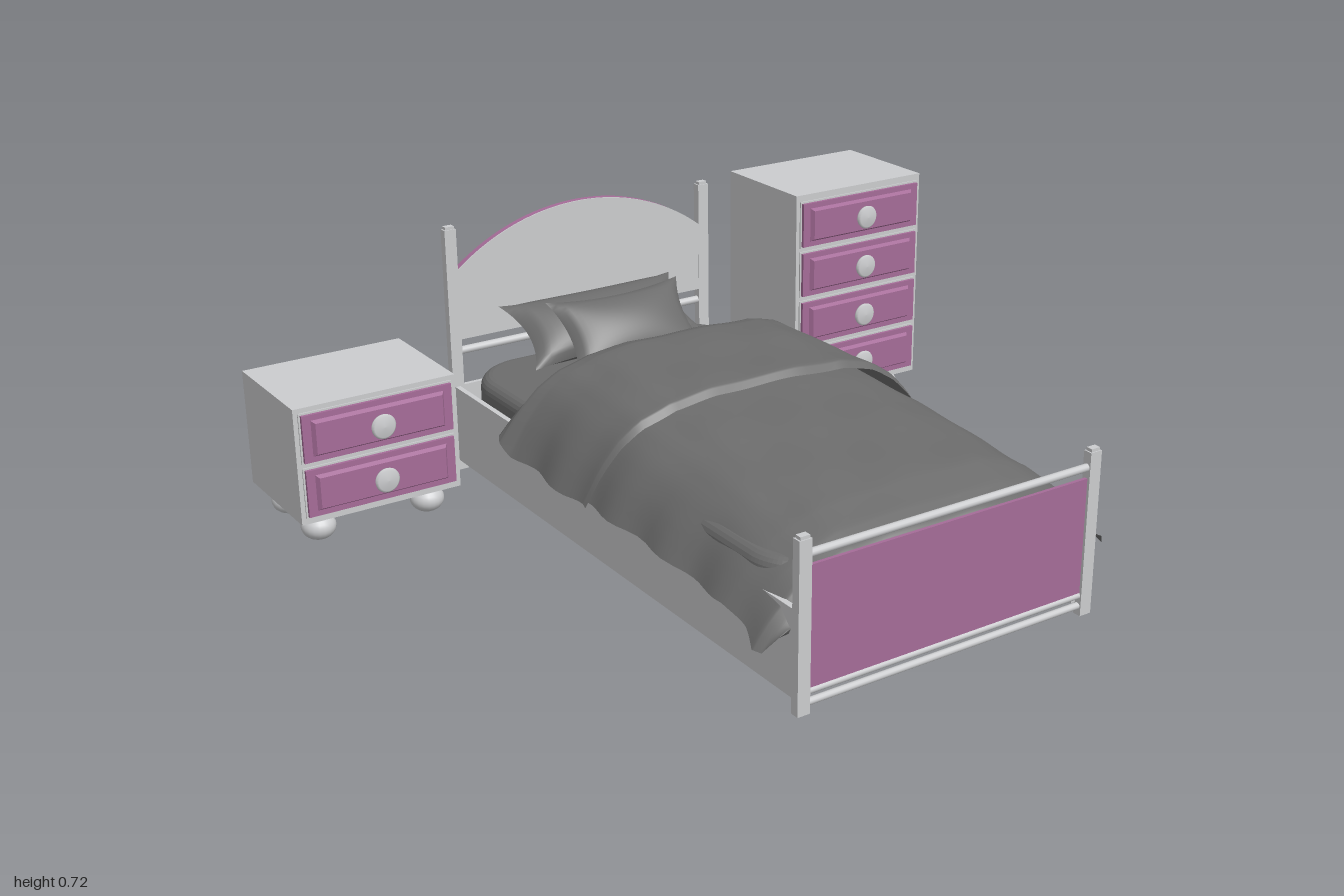
import * as THREE from 'three';

const material = (name, color, side = THREE.FrontSide) => {
  const m = new THREE.MeshStandardMaterial({ color, side });
  m.name = name;
  return m;
};

export function createModel() {
  const model = new THREE.Group();
  model.name = 'bedroomSet';
  const paint = material('pale grey paint', 0xcbccce);
  const plum = material('plum panel', 0xa56c98);
  const fabric = material('dark grey fabric', 0x6c6c6c, THREE.DoubleSide);

  const add = (parent, name, geometry, mat) => {
    const mesh = new THREE.Mesh(geometry, mat);
    mesh.name = name;
    parent.add(mesh);
    return mesh;
  };
  // Box given by its limits on each axis
  const box = (parent, name, mat, x0, x1, y0, y1, z0, z1) => {
    const mesh = add(parent, name, new THREE.BoxGeometry(x1 - x0, y1 - y0, z1 - z0), mat);
    mesh.position.set((x0 + x1) / 2, (y0 + y1) / 2, (z0 + z1) / 2);
    return mesh;
  };
  // Smooth sheet from fn(u, v) -> [x, y, z], with u and v in -1..1
  const sheet = (fn, nu, nv) => {
    const pos = [], index = [], row = nu + 1;
    for (let i = 0; i <= nv; i++) {
      for (let j = 0; j <= nu; j++) pos.push(...fn(j / nu * 2 - 1, i / nv * 2 - 1));
    }
    for (let i = 0; i < nv; i++) {
      for (let j = 0; j < nu; j++) {
        const a = i * row + j;
        index.push(a, a + row, a + 1, a + 1, a + row, a + row + 1);
      }
    }
    const g = new THREE.BufferGeometry();
    g.setAttribute('position', new THREE.Float32BufferAttribute(pos, 3));
    g.setIndex(index);
    g.computeVertexNormals();
    return g;
  };
  // Linear lookup in rows whose first entry is the key
  const lookup = (rows, key) => {
    let i = 0;
    while (i < rows.length - 2 && key > rows[i + 1][0]) i++;
    const t = (key - rows[i][0]) / (rows[i + 1][0] - rows[i][0]);
    return rows[i].map((value, k) => value + (rows[i + 1][k] - value) * t);
  };

  // Bed frame
  const bed = new THREE.Group();
  bed.name = 'bed';
  model.add(bed);
  const post = (name, x, z, height) => {
    box(bed, name, paint, x - 0.017, x + 0.017, 0, height - 0.008, z - 0.012, z + 0.012);
    box(bed, name + 'Cap', paint, x - 0.013, x + 0.013, height - 0.008, height, z - 0.009, z + 0.009);
  };
  const rail = (name, x0, x1, y, z, r) => {
    const mesh = add(bed, name, new THREE.CylinderGeometry(r, r, x1 - x0, 12), paint);
    mesh.rotation.z = Math.PI / 2;
    mesh.position.set((x0 + x1) / 2, y, z);
  };
  post('headPostRight', -0.405, -0.803, 0.71);
  post('headPostLeft', 0.412, -0.803, 0.71);
  post('footPostRight', -0.408, 0.833, 0.435);
  post('footPostLeft', 0.432, 0.833, 0.435);
  box(bed, 'sideRailRight', paint, -0.415, -0.4, 0.03, 0.25, -0.793, 0.825);
  box(bed, 'sideRailLeft', paint, 0.403, 0.422, 0.03, 0.25, -0.793, 0.825);
  box(bed, 'headLowerPanel', paint, -0.39, 0.397, 0.03, 0.25, -0.81, -0.797);
  rail('headRail', -0.395, 0.4, 0.35, -0.803, 0.011);

  // Footboard
  box(bed, 'footPanel', plum, -0.392, 0.416, 0.06, 0.36, 0.829, 0.838);
  rail('footTopRail', -0.395, 0.42, 0.387, 0.833, 0.01);
  rail('footMiddleRail', -0.395, 0.42, 0.052, 0.833, 0.009);
  rail('footBottomRail', -0.395, 0.42, 0.024, 0.833, 0.009);

  // Arched headboard: plum back and edge, pale front face
  const arch = new THREE.Shape();
  const radius = 0.635, half = Math.asin(0.392 / radius);
  arch.moveTo(-0.388, 0.385);
  arch.lineTo(0.396, 0.385);
  arch.absarc(0.004, 0.72 - radius, radius, Math.PI / 2 - half, Math.PI / 2 + half, false);
  arch.closePath();
  const headBack = add(bed, 'headboardBack',
    new THREE.ExtrudeGeometry(arch, { depth: 0.018, bevelEnabled: false, curveSegments: 32 }), plum);
  headBack.position.z = -0.814;
  const headFront = add(bed, 'headboardFront',
    new THREE.ExtrudeGeometry(arch, { depth: 0.004, bevelEnabled: false, curveSegments: 32 }), paint);
  headFront.position.z = -0.796;

  // Mattress with round corners and soft edges
  const outline = new THREE.Shape();
  const hx = 0.365, hz = 0.74, r = 0.12;
  outline.absarc(hx - r, hz - r, r, 0, Math.PI / 2);
  outline.absarc(r - hx, hz - r, r, Math.PI / 2, Math.PI);
  outline.absarc(r - hx, r - hz, r, Math.PI, Math.PI * 1.5);
  outline.absarc(hx - r, r - hz, r, Math.PI * 1.5, Math.PI * 2);
  const mattress = add(bed, 'mattress', new THREE.ExtrudeGeometry(outline, {
    depth: 0.14, bevelSize: 0.033, bevelThickness: 0.035, bevelSegments: 5, curveSegments: 10,
  }), fabric);
  mattress.rotation.x = -Math.PI / 2;
  mattress.position.set(-0.002, 0.135, -0.008);

  // Draped covers: stations hold [step, z, right edge, left edge, crown y, hem y]
  const drape = [[0, 1], [0.25, 0.995], [0.5, 0.95], [0.68, 0.82], [0.8, 0.63], [0.9, 0.37], [0.96, 0.15], [1, 0]];
  const cover = (name, stations, nv, flare) => add(bed, name, sheet((u, v) => {
    const [, z, right, left, crown, hem] = lookup(stations, (v + 1) / 2 * (stations.length - 1));
    const a = Math.abs(u), [, h] = lookup(drape, a);
    const mid = 0.015, reach = u < 0 ? mid - right : left - mid;
    const fold = a ** 6 * 0.009 * Math.sin(z * 27 + u * 2);
    const ripple = 0.003 * Math.sin(z * 19 + u * 5) * Math.sin(u * 9 - z * 4);
    return [
      mid + u * reach + Math.sign(u) * fold,
      hem + (crown - hem) * h + ripple,
      z + flare * a ** 4 + 0.006 * Math.sin(u * 8) * a,
    ];
  }, 48, nv), fabric);
  cover('blanket', [
    [0, -0.3, -0.46, 0.52, 0.43, 0.23],
    [1, 0, -0.465, 0.53, 0.43, 0.21],
    [2, 0.2, -0.465, 0.535, 0.415, 0.21],
    [3, 0.45, -0.462, 0.53, 0.395, 0.2],
    [4, 0.62, -0.462, 0.53, 0.378, 0.195],
    [5, 0.71, -0.475, 0.53, 0.355, 0.175],
    [6, 0.765, -0.49, 0.535, 0.33, 0.15],
    [7, 0.79, -0.475, 0.53, 0.3, 0.15],
    [8, 0.808, -0.45, 0.51, 0.25, 0.18],
    [9, 0.8, -0.44, 0.5, 0.2, 0.18],
  ], 54, 0);
  cover('foldedCover', [
    [0, -0.34, -0.42, 0.45, 0.32, 0.29],
    [1, -0.375, -0.45, 0.5, 0.36, 0.27],
    [2, -0.385, -0.48, 0.545, 0.41, 0.25],
    [3, -0.365, -0.485, 0.55, 0.448, 0.24],
    [4, -0.32, -0.475, 0.545, 0.46, 0.215],
    [5, -0.2, -0.475, 0.555, 0.458, 0.21],
    [6, -0.05, -0.478, 0.57, 0.45, 0.205],
    [7, 0.03, -0.48, 0.588, 0.445, 0.21],
    [8, 0.048, -0.48, 0.588, 0.425, 0.205],
  ], 40, -0.02);

  // Pillows with pinched corners
  const pillow = (name, w, d, t, x, y, z, tilt) => {
    const group = new THREE.Group();
    group.name = name;
    for (const side of [1, -1]) {
      add(group, side > 0 ? 'pillowTop' : 'pillowUnderside', sheet((u, v) => [
        side * u * w / 2 * (1 - 0.13 * (1 - v * v)),
        side * t / 2 * Math.sqrt((1 - u * u) * (1 - v * v)),
        v * d / 2 * (1 - 0.16 * (1 - u * u)),
      ], 24, 18), fabric);
    }
    group.rotation.x = tilt;
    group.position.set(x, y, z);
    bed.add(group);
  };
  pillow('backPillow', 0.56, 0.24, 0.13, 0.01, 0.395, -0.69, 0.55);
  pillow('frontPillow', 0.42, 0.24, 0.11, -0.01, 0.425, -0.525, 0.78);

  // Drawer cabinets
  const knobShape = [[0, 0], [0.02, 0], [0.011, 0.008], [0.011, 0.018], [0.032, 0.024], [0.034, 0.03], [0.028, 0.036], [0, 0.038]]
    .map(([x, y]) => new THREE.Vector2(x, y));
  const cabinet = (name, cx, top, count) => {
    const group = new THREE.Group();
    group.name = name;
    group.position.x = cx;
    model.add(group);
    const w = 0.224;
    box(group, 'cabinetBody', paint, -w, w, 0.088, top, -0.848, -0.513);
    for (let i = 0; i < count; i++) {
      const y = 0.174 + i * 0.149;
      box(group, 'drawerSurround', paint, -0.212, 0.212, y - 0.069, y + 0.069, -0.515, -0.509);
      box(group, 'drawerFront', plum, -0.207, 0.207, y - 0.064, y + 0.064, -0.512, -0.5);
      // Raised centre with sloping edges
      const raised = box(group, 'drawerRaisedPanel', plum, -0.185, 0.185, y - 0.05, y + 0.05, -0.502, -0.489);
      const p = raised.geometry.attributes.position;
      for (let k = 0; k < p.count; k++) {
        if (p.getZ(k) > 0) p.setXY(k, p.getX(k) * 0.95, p.getY(k) * 0.84);
      }
      raised.geometry.computeVertexNormals();
      const knob = add(group, 'drawerKnob', new THREE.LatheGeometry(knobShape, 24), paint);
      knob.rotation.x = Math.PI / 2;
      knob.position.set(0, y, -0.502);
    }
    // Bun feet
    for (const x of [-0.155, 0.155]) {
      for (const z of [-0.58, -0.778]) {
        const foot = add(group, 'bunFoot', new THREE.SphereGeometry(0.046, 20, 14), paint);
        foot.scale.y = 0.8;
        foot.position.set(x, 0.046, z);
        const neck = add(group, 'footNeck', new THREE.CylinderGeometry(0.02, 0.02, 0.03, 16), paint);
        neck.position.set(x, 0.078, z);
      }
    }
  };
  cabinet('nightstand', -0.774, 0.405, 2);
  cabinet('tallDresser', 0.771, 0.709, 4);
  return model;
}
